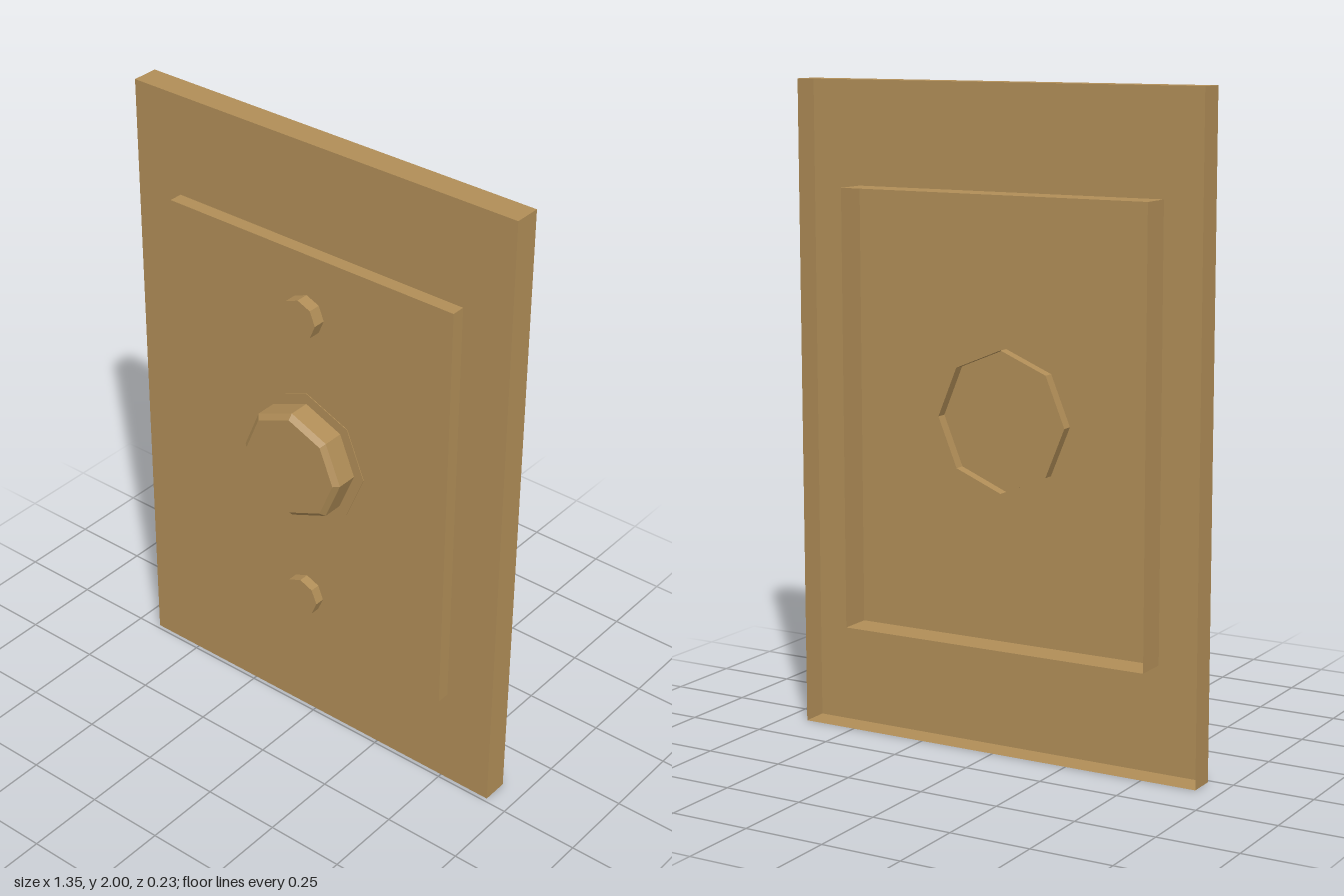
import * as THREE from 'three';

const bronze = new THREE.MeshStandardMaterial({
  color: 0xb08d57, flatShading: true, side: THREE.DoubleSide,
});

// Open-backed shell: a profile of [radius, z] points turned about the z axis
function shell(name, profile, sides, y, phase = 0) {
  const points = profile.map(([r, z]) => new THREE.Vector2(r, z));
  const geometry = new THREE.LatheGeometry(points, sides, phase);
  geometry.rotateX(Math.PI / 2);
  const mesh = new THREE.Mesh(geometry, bronze);
  mesh.name = name;
  mesh.position.y = y;
  return mesh;
}

// Rectangular tray, open at the back: four-sided shell stretched to size
function tray(name, width, height, back, front, y) {
  const r = Math.SQRT1_2;
  const mesh = shell(name, [[r, back], [r, front], [0, front]], 4, y, Math.PI / 4);
  mesh.geometry.scale(width, height, 1);
  return mesh;
}

export function createModel() {
  const model = new THREE.Group();
  model.name = 'wallPlate';

  // Backing plate and raised panel
  model.add(tray('backPlate', 1.35, 2, -0.097, -0.013, 1));
  model.add(tray('raisedPanel', 1.024, 1.353, -0.113, 0.03, 1.003));

  // Octagonal collar set through the panel, with the chamfered knob on it
  model.add(shell('collar', [[0.215, -0.047], [0.215, 0.032], [0, 0.032]], 8, 1.003));
  model.add(shell('knob', [[0.18, 0.03], [0.18, 0.098], [0.164, 0.113], [0, 0.113]], 8, 1.003));

  // Screw heads above and below the knob
  for (const [name, y, front] of [['upperScrew', 1.486, 0.07], ['lowerScrew', 0.494, 0.062]]) {
    model.add(shell(name, [[0.063, 0.02], [0.063, front], [0, front]], 8, y));
  }
  return model;
}
